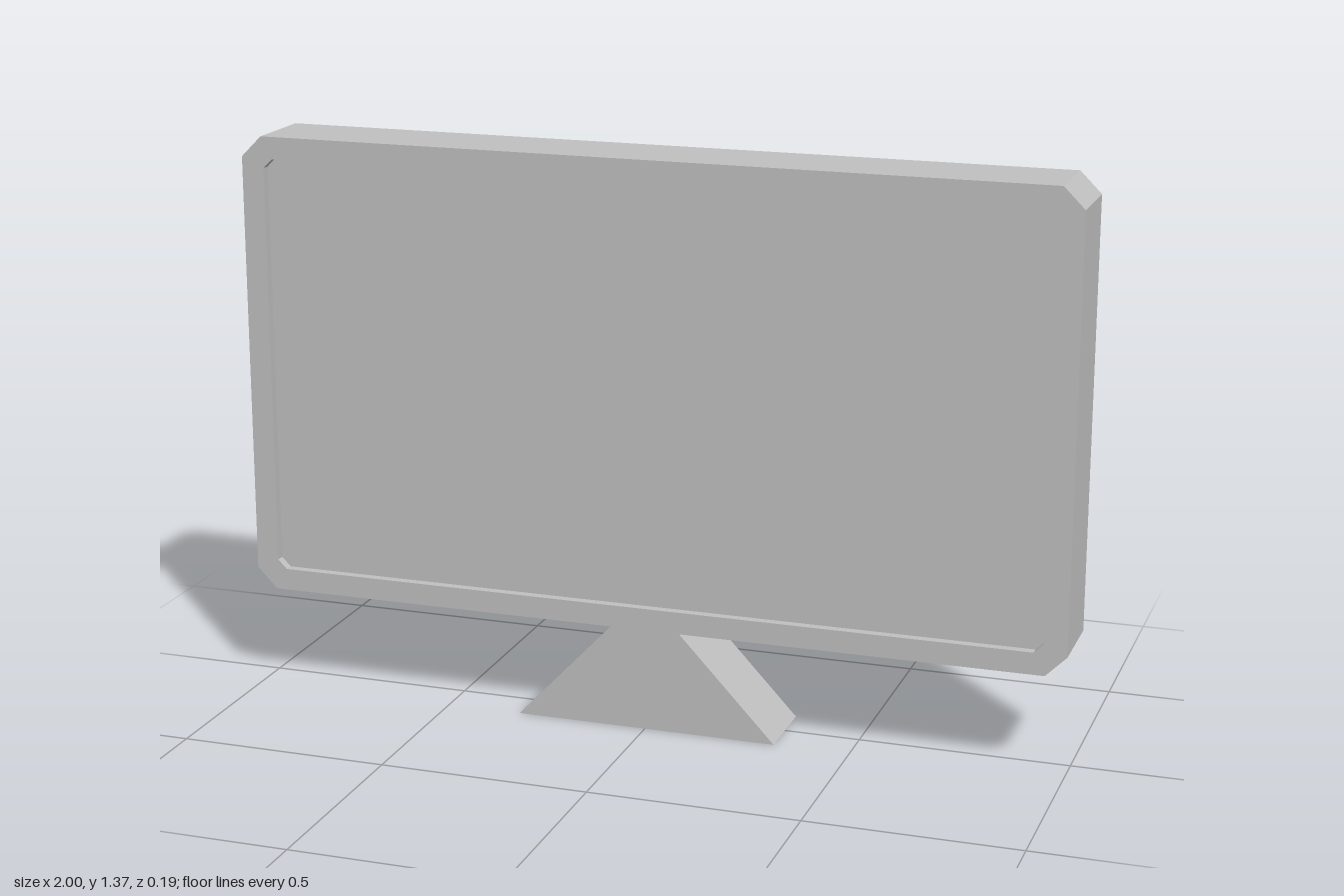
import * as THREE from 'three';

const BACK = -0.095, FRONT = 0.095, RECESS = 0.022;

// Corner points of a rectangle with chamfered corners
function chamferedRect(x, y0, y1, cx, cy = cx) {
  return [
    [-x + cx, y0], [x - cx, y0], [x, y0 + cy], [x, y1 - cy],
    [x - cx, y1], [-x + cx, y1], [-x, y1 - cy], [-x, y0 + cy],
  ].map(([px, py]) => new THREE.Vector2(px, py));
}

// Straight extrusion of an outline between two depths
function slab(name, shape, z0, z1, material) {
  const geometry = new THREE.ExtrudeGeometry(shape, { depth: z1 - z0, bevelEnabled: false });
  geometry.translate(0, 0, z0);
  const mesh = new THREE.Mesh(geometry, material);
  mesh.name = name;
  return mesh;
}

export function createModel() {
  const grey = new THREE.MeshStandardMaterial({ color: 0xc0c0c0 });
  grey.name = 'light grey';

  const model = new THREE.Group();
  model.name = 'monitor';

  const outline = chamferedRect(1, 0.247, 1.365, 0.05);
  const opening = chamferedRect(0.945, 0.3, 1.312, 0.022);

  // Housing: its front face is the screen surface
  model.add(slab('housing', new THREE.Shape(outline), BACK, FRONT - RECESS, grey));

  // Raised bezel around the screen
  const bezel = new THREE.Shape(outline);
  bezel.holes.push(new THREE.Path(opening));
  model.add(slab('bezel', bezel, FRONT - RECESS, FRONT, grey));

  // Flared stand, flush with the front and back
  const foot = new THREE.Shape([
    new THREE.Vector2(-0.318, 0), new THREE.Vector2(0.318, 0),
    new THREE.Vector2(0.085, 0.247), new THREE.Vector2(-0.085, 0.247),
  ]);
  model.add(slab('stand', foot, BACK, FRONT, grey));

  return model;
}
